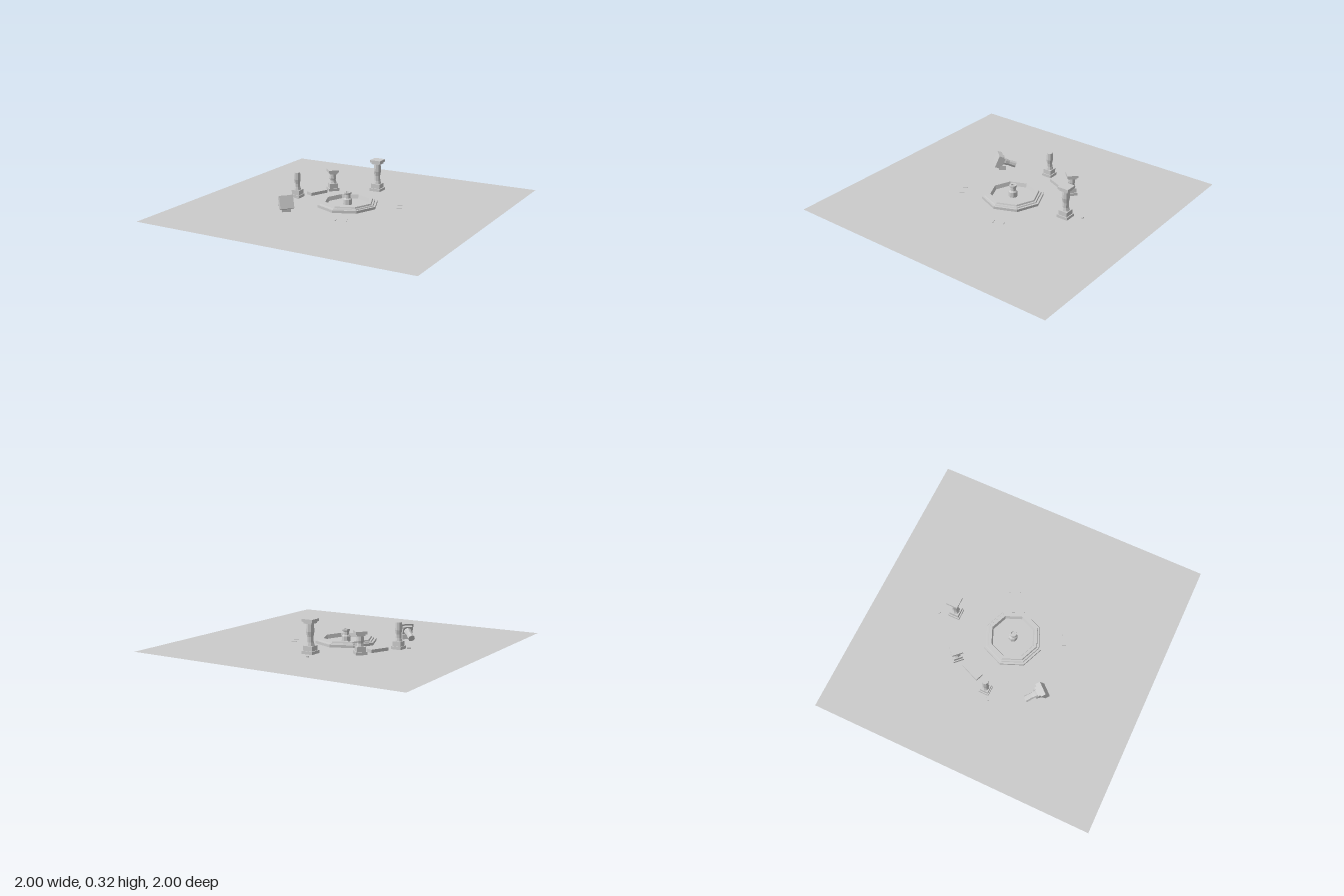
import * as THREE from 'three';

const GROUND = 0.097;

function material() {
  return new THREE.MeshStandardMaterial({ color: 0xcccccc, flatShading: true, side: THREE.DoubleSide });
}

function add(parent, name, geometry, x = 0, y = 0, z = 0, ry = 0) {
  const mesh = new THREE.Mesh(geometry, material());
  mesh.name = name;
  mesh.position.set(x, y, z);
  mesh.rotation.y = ry;
  parent.add(mesh);
  return mesh;
}

const box = (w, h, d) => new THREE.BoxGeometry(w, h, d);

// Faceted solid of revolution from [radius, height] pairs
const turned = (pairs, sides = 8) =>
  new THREE.LatheGeometry(pairs.map(([r, y]) => new THREE.Vector2(r, y)), sides);

// Square-footed column with a waisted shaft and an optional capital
function column(name, x, z, ry, height, width, capital) {
  const g = new THREE.Group();
  g.name = name;
  g.position.set(x, GROUND, z);
  g.rotation.y = ry;
  const w = width;
  add(g, 'plinth', box(w, 0.02, w), 0, 0.01, 0);
  add(g, 'foot', box(w * 0.82, 0.035, w * 0.82), 0, 0.035, 0);
  const top = capital ? height - 0.028 : height;
  const r = w * 0.32;
  add(g, 'shaft', turned([
    [0, 0.05], [r * 1.15, 0.05], [r * 0.85, 0.075], [r * 0.8, top * 0.55],
    [r * 1.05, top * 0.72], [r * 0.9, top], [0, top],
  ]));
  if (capital) {
    add(g, 'collar', box(w * 0.75, 0.014, w * 0.75), 0, height - 0.024, 0);
    add(g, 'capital', box(w, 0.018, w), 0, height - 0.009, 0);
  }
  return g;
}

export function createModel() {
  const model = new THREE.Group();
  model.name = 'ruinedFountainCourt';

  // Ground sheet level with the top of the platform
  add(model, 'ground', new THREE.PlaneGeometry(2, 2).rotateX(-Math.PI / 2), 0, GROUND, 0);

  // Octagonal two-tier platform below the ground sheet
  add(model, 'platform', turned([
    [0, 0], [0.477, 0], [0.455, 0.06], [0.415, 0.06], [0.41, 0.095], [0, 0.095],
  ]));

  // Step blocks set into two platform faces, their cheeks just breaking the ground
  for (const angle of [Math.PI / 8, Math.PI * 5 / 8]) {
    const steps = new THREE.Group();
    steps.name = 'steps';
    steps.rotation.y = angle;
    add(steps, 'lowerStep', box(0.085, 0.045, 0.06), 0, 0.03, 0.403);
    for (const side of [-1, 1]) {
      add(steps, 'cheek', box(0.006, 0.03, 0.035), side * 0.036, 0.086, 0.356);
    }
    model.add(steps);
  }

  // Octagonal basin with stepped rim and sunken floor
  add(model, 'basin', turned([
    [0.213, 0.09], [0.213, 0.115], [0.198, 0.115], [0.194, 0.122], [0.182, 0.122],
    [0.178, 0.132], [0.157, 0.132], [0.148, 0.105], [0, 0.105],
  ]));
  add(model, 'fountainPedestal', turned([
    [0.032, 0.1], [0.03, 0.14], [0.02, 0.15], [0.018, 0.172], [0.027, 0.178],
    [0.027, 0.19], [0.014, 0.19], [0.012, 0.18], [0, 0.18],
  ]));

  // Standing columns, the last one broken
  model.add(column('backColumn', 0, -0.437, 0, 0.228, 0.082, true));
  model.add(column('cornerColumn', -0.285, -0.288, Math.PI / 4, 0.153, 0.075, true));
  model.add(column('brokenColumn', -0.412, -0.01, 0, 0.178, 0.072, false));

  // Toppled column leaning up towards its capital
  const fallen = new THREE.Group();
  fallen.name = 'fallenColumn';
  const axis = new THREE.Vector3(0.105, 0.058, 0.095).normalize();
  const across = new THREE.Vector3(axis.z, 0, -axis.x).normalize();
  const third = new THREE.Vector3().crossVectors(across, axis);
  fallen.quaternion.setFromRotationMatrix(new THREE.Matrix4().makeBasis(across, axis, third));
  fallen.position.set(-0.365, 0.115, 0.265);
  add(fallen, 'fallenShaft', turned([
    [0, 0], [0.024, 0], [0.021, 0.05], [0.027, 0.08], [0.024, 0.11], [0, 0.11],
  ]));
  add(fallen, 'fallenCollar', box(0.065, 0.02, 0.065), 0, 0.105, 0);
  add(fallen, 'fallenCapital', box(0.095, 0.035, 0.09), 0, 0.132, 0);
  model.add(fallen);
  add(model, 'proppingStone', box(0.06, 0.035, 0.05), -0.29, 0.112, 0.325, 0.7);

  // Fallen slab and scattered rubble
  add(model, 'fallenSlab', box(0.055, 0.022, 0.14), -0.333, 0.108, -0.148, -0.4);
  const rubble = [[-0.468, 0.03, 0.025, 0.6], [-0.05, -0.542, 0.016, 0.2], [-0.385, 0.03, 0.014, 0.3]];
  for (const [x, z, s, ry] of rubble) {
    add(model, 'rubble', box(s, 0.012, s * 0.6), x, 0.1, z, ry);
  }

  return model;
}
